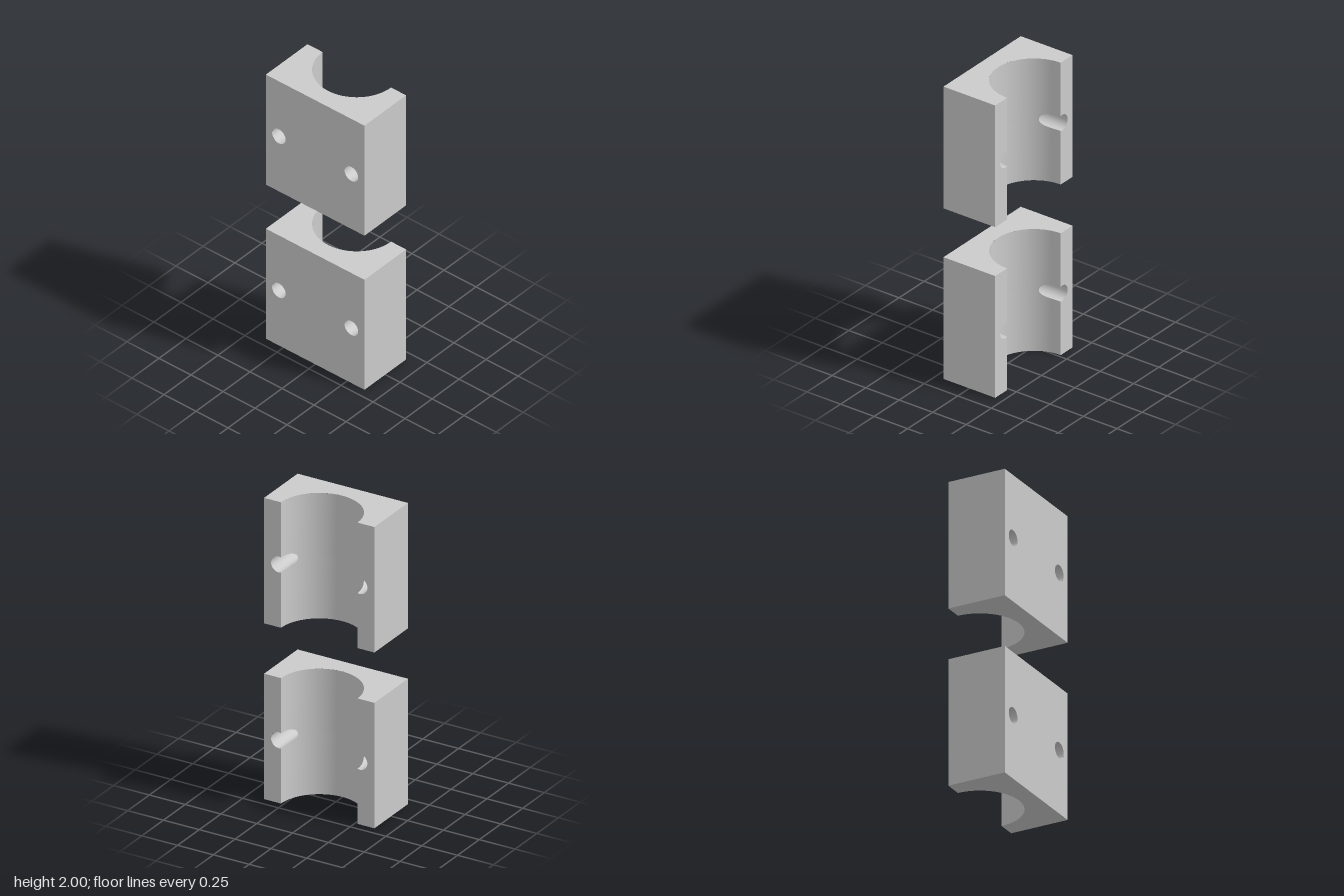
import * as THREE from 'three';

const W = 0.385;       // half width
const D = 0.193;       // half depth
const H = 0.4165;      // half height of one block
const BORE = 0.267;    // bore radius, axis on the back plane
const HOLE_X = 0.283;  // bolt hole offset
const HOLE_R = 0.053;

const material = new THREE.MeshStandardMaterial({ color: 0xcccccc });

const boreZ = (x) => -D + Math.sqrt(Math.max(0, BORE * BORE - x * x));
// half height of the bolt hole opening at a given x
const gap = (x) => Math.sqrt(Math.max(0, HOLE_R ** 2 - (Math.abs(x) - HOLE_X) ** 2));

// Ribbon of quads between two rows of points; faces along (direction x up)
function strip(name, lower, upper) {
  const n = lower.length;
  const geometry = new THREE.BufferGeometry().setFromPoints([...lower, ...upper]);
  const index = [];
  for (let i = 0; i < n - 1; i++) {
    index.push(i, i + 1, n + i + 1, i, n + i + 1, n + i);
  }
  geometry.setIndex(index);
  geometry.computeVertexNormals();
  const mesh = new THREE.Mesh(geometry, material);
  mesh.name = name;
  return mesh;
}

// Upright wall over a path of [x, z], left open where the bolt holes pass
function wall(name, path) {
  const row = (height) => path.map(([x, z]) => new THREE.Vector3(x, height(x), z));
  const group = new THREE.Group();
  group.name = name;
  group.add(
    strip(name + 'Lower', row(() => -H), row((x) => -gap(x))),
    strip(name + 'Upper', row((x) => gap(x)), row(() => H)),
  );
  return group;
}

// Values from a to b, bunched towards both ends
function eased(a, b, n) {
  return Array.from({ length: n + 1 }, (_, i) => a + (b - a) * (1 - Math.cos((Math.PI * i) / n)) / 2);
}

// Bolt hole lining, from the front face to the bore or the back face
function boltHole(side) {
  const edge = Math.acos((BORE - HOLE_X) / HOLE_R); // where the hole meets the bore edge
  const angles = [...eased(-edge, edge, 32), ...eased(edge, 2 * Math.PI - edge, 32).slice(1)];
  const row = (z) => angles.map((a) => {
    const x = HOLE_X + HOLE_R * Math.cos(a);
    return new THREE.Vector3(side * x, side * HOLE_R * Math.sin(a), z(x));
  });
  return strip(side > 0 ? 'leftBoltHole' : 'rightBoltHole', row(() => D), row(boreZ));
}

// End face with the half-round cut
function endFace(name, y, flip) {
  const shape = new THREE.Shape();
  shape.moveTo(-W, -D);
  shape.lineTo(W, -D);
  shape.lineTo(W, D);
  shape.lineTo(BORE, D);
  shape.absarc(0, D, BORE, 2 * Math.PI, Math.PI, true);
  shape.lineTo(-W, D);
  const geometry = new THREE.ShapeGeometry(shape, 80).rotateX(-Math.PI / 2);
  if (flip) geometry.rotateZ(Math.PI);
  const mesh = new THREE.Mesh(geometry, material);
  mesh.name = name;
  mesh.position.y = y;
  return mesh;
}

function clampBlock(name, y) {
  const block = new THREE.Group();
  block.name = name;
  block.position.y = y;

  // front face with both holes
  const inner = HOLE_X - HOLE_R, outer = HOLE_X + HOLE_R;
  const frontX = [-W, ...eased(-outer, -inner, 40), ...eased(inner, outer, 40), W];
  block.add(wall('frontFace', frontX.map((x) => [x, D])));

  // outer sides
  block.add(wall('leftSide', [[W, D], [W, -D]]), wall('rightSide', [[-W, -D], [-W, D]]));

  // back lands, notched by the holes
  const land = [W, ...eased(outer, BORE, 30)];
  block.add(wall('leftLand', land.map((x) => [x, -D])));
  block.add(wall('rightLand', land.map((x) => [-x, -D]).reverse()));

  // half-round bore, also notched by the holes
  const t = Math.acos(inner / BORE);
  const angles = [
    ...eased(0, t, 30),
    ...eased(t, Math.PI - t, 50).slice(1),
    ...eased(Math.PI - t, Math.PI, 30).slice(1),
  ];
  block.add(wall('bore', angles.map((a) => [BORE * Math.cos(a), -D + BORE * Math.sin(a)])));

  block.add(boltHole(1), boltHole(-1));
  block.add(endFace('topFace', H, false), endFace('bottomFace', -H, true));
  return block;
}

export function createModel() {
  const model = new THREE.Group();
  model.name = 'clampBlocks';
  model.add(clampBlock('lowerBlock', H), clampBlock('upperBlock', 2 - H));
  return model;
}
